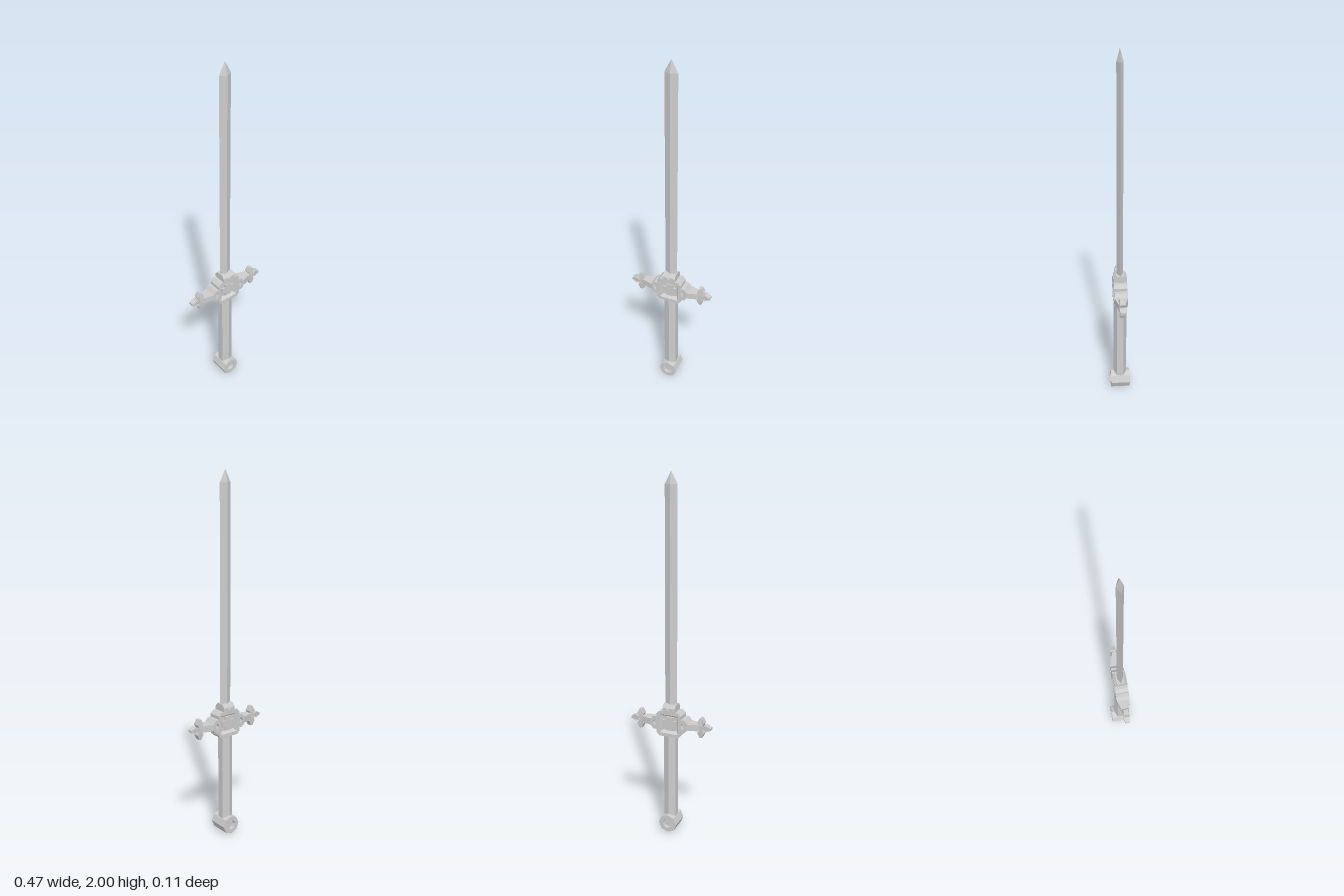
import * as THREE from 'three';

const mat = new THREE.MeshStandardMaterial({ color: 0xcccccc, flatShading: true });
const openMat = new THREE.MeshStandardMaterial({ color: 0xcccccc, flatShading: true, side: THREE.DoubleSide });
const GUARD_Y = 0.659;
const DEPTH = 0.037; // half thickness of guard
const FLOOR = 0.017; // depth level of the recess floors

function add(parent, name, geometry, x = 0, y = 0, z = 0, material = mat) {
  const mesh = new THREE.Mesh(geometry, material);
  mesh.name = name;
  mesh.position.set(x, y, z);
  parent.add(mesh);
  return mesh;
}

const toPoints = (pts) => pts.map(([x, y]) => new THREE.Vector2(x, y));

// Prism from z0 to z1 with optional holes
function prism(pts, z0, z1, holes = []) {
  const shape = new THREE.Shape(toPoints(pts));
  shape.holes = holes.map((h) => new THREE.Path(toPoints(h)));
  return new THREE.ExtrudeGeometry(shape, { depth: z1 - z0, bevelEnabled: false }).translate(0, 0, z0);
}

// Move every vertex by a rule
function reshape(geometry, rule) {
  const p = geometry.attributes.position;
  const v = new THREE.Vector3();
  for (let i = 0; i < p.count; i++) {
    v.fromBufferAttribute(p, i);
    rule(v);
    p.setXYZ(i, v.x, v.y, v.z);
  }
  geometry.computeVertexNormals();
  return geometry;
}

function createGuard() {
  const guard = new THREE.Group();
  guard.name = 'crossguard';
  guard.position.y = GUARD_Y;

  // Stepped outline of the centre block, mirrored from one quarter
  const q = [[0.108, 0.018], [0.092, 0.038], [0.072, 0.038], [0.072, 0.056], [0.055, 0.073]];
  const flip = (sx, sy) => q.map(([x, y]) => [x * sx, y * sy]);
  const outline = [
    ...flip(1, 1), ...flip(-1, 1).reverse(), ...flip(-1, -1), ...flip(1, -1).reverse(),
  ];
  const R = 0.054;
  const square = [[-R, -R], [-R, R], [R, R], [R, -R]];
  const diamond = (x) => [[x - 0.013, 0], [x, 0.021], [x + 0.013, 0], [x, -0.021]];
  const holes = [square, diamond(0.083), diamond(-0.083)];
  const a = 0.019, b = 0.039;
  const cross = [[a, b], [-a, b], [-a, a], [-b, a], [-b, -a], [-a, -a],
    [-a, -b], [a, -b], [a, -a], [b, -a], [b, a], [a, a]];

  add(guard, 'guardCore', prism(outline, -FLOOR, FLOOR));
  for (const turn of [0, Math.PI]) {
    const face = new THREE.Group();
    face.name = turn ? 'guardBackFace' : 'guardFrontFace';
    face.rotation.y = turn;
    add(face, 'guardPlate', prism(outline, FLOOR, DEPTH, holes));
    // Sloping walls of the square recess
    const walls = new THREE.CylinderGeometry(R * Math.SQRT2, 0.041 * Math.SQRT2, DEPTH - FLOOR, 4, 1, true);
    walls.rotateY(Math.PI / 4).rotateX(Math.PI / 2);
    add(face, 'recessWalls', walls, 0, 0, (DEPTH + FLOOR) / 2, openMat);
    add(face, 'crossInlay', prism(cross, FLOOR, 0.027));
    // Collar face with a small triangular notch
    const notched = [[-0.037, 0.07], [0.037, 0.07], [0.037, 0.094],
      [0.015, 0.094], [0, 0.078], [-0.015, 0.094], [-0.037, 0.094]];
    add(face, 'collarPlate', prism(notched, 0.024, DEPTH));
    guard.add(face);
  }

  // Collar core and its bevelled top
  add(guard, 'collarCore', new THREE.BoxGeometry(0.074, 0.026, 0.05), 0, 0.081, 0);
  const bevel = reshape(new THREE.BoxGeometry(0.074, 0.018, DEPTH * 2), (v) => {
    if (v.y > 0) v.z *= 0.6;
  });
  add(guard, 'collarBevel', bevel, 0, 0.103, 0);

  // Tapering arms ending in three flared lobes
  const lobe = [[0.011, 0], [0.011, 0.013], [0.019, 0.029], [0.007, 0.057],
    [-0.007, 0.057], [-0.019, 0.029], [-0.011, 0.013], [-0.011, 0]];
  for (const turn of [0, Math.PI]) {
    const arm = new THREE.Group();
    arm.name = turn ? 'rightArm' : 'leftArm';
    arm.rotation.y = turn;
    const bar = reshape(new THREE.BoxGeometry(0.065, 0.036, DEPTH * 2), (v) => {
      if (v.x > 0) v.z *= 0.49;
    });
    add(arm, 'armBar', bar, 0.14, 0, 0);
    add(arm, 'lobeHub', new THREE.BoxGeometry(0.024, 0.024, 0.036), 0.18, 0, 0);
    for (const angle of [0, -Math.PI / 2, Math.PI]) {
      const g = reshape(prism(lobe, -0.018, 0.018), (v) => {
        if (v.y > 0.05) v.z *= 0.75;
      });
      add(arm, 'lobe', g, 0.18, 0, 0).rotation.z = angle;
    }
    guard.add(arm);
  }
  return guard;
}

export function createModel() {
  const sword = new THREE.Group();
  sword.name = 'sword';

  // Diamond-section blade and point
  const blade = new THREE.CylinderGeometry(0.035, 0.035, 1.18, 4).scale(1, 1, 0.5);
  add(sword, 'blade', blade, 0, 1.345, 0);
  const point = new THREE.ConeGeometry(0.035, 0.065, 4).scale(1, 1, 0.5);
  add(sword, 'bladePoint', point, 0, 1.9675, 0);

  sword.add(createGuard());

  // Six-sided grip
  const grip = new THREE.CylinderGeometry(DEPTH, DEPTH, 0.51, 6).scale(1.09, 1, 1);
  add(sword, 'grip', grip, 0, 0.345, 0);

  // Eight-sided pommel with a hollow at each end
  const profile = toPoints([[0, -0.035], [0.028, -0.035], [0.028, -0.055], [0.053, -0.055],
    [0.053, 0.055], [0.028, 0.055], [0.028, 0.035], [0, 0.035]]);
  const pommel = new THREE.LatheGeometry(profile, 8).rotateX(Math.PI / 2);
  add(sword, 'pommel', pommel, 0, 0.053, 0);

  return sword;
}
